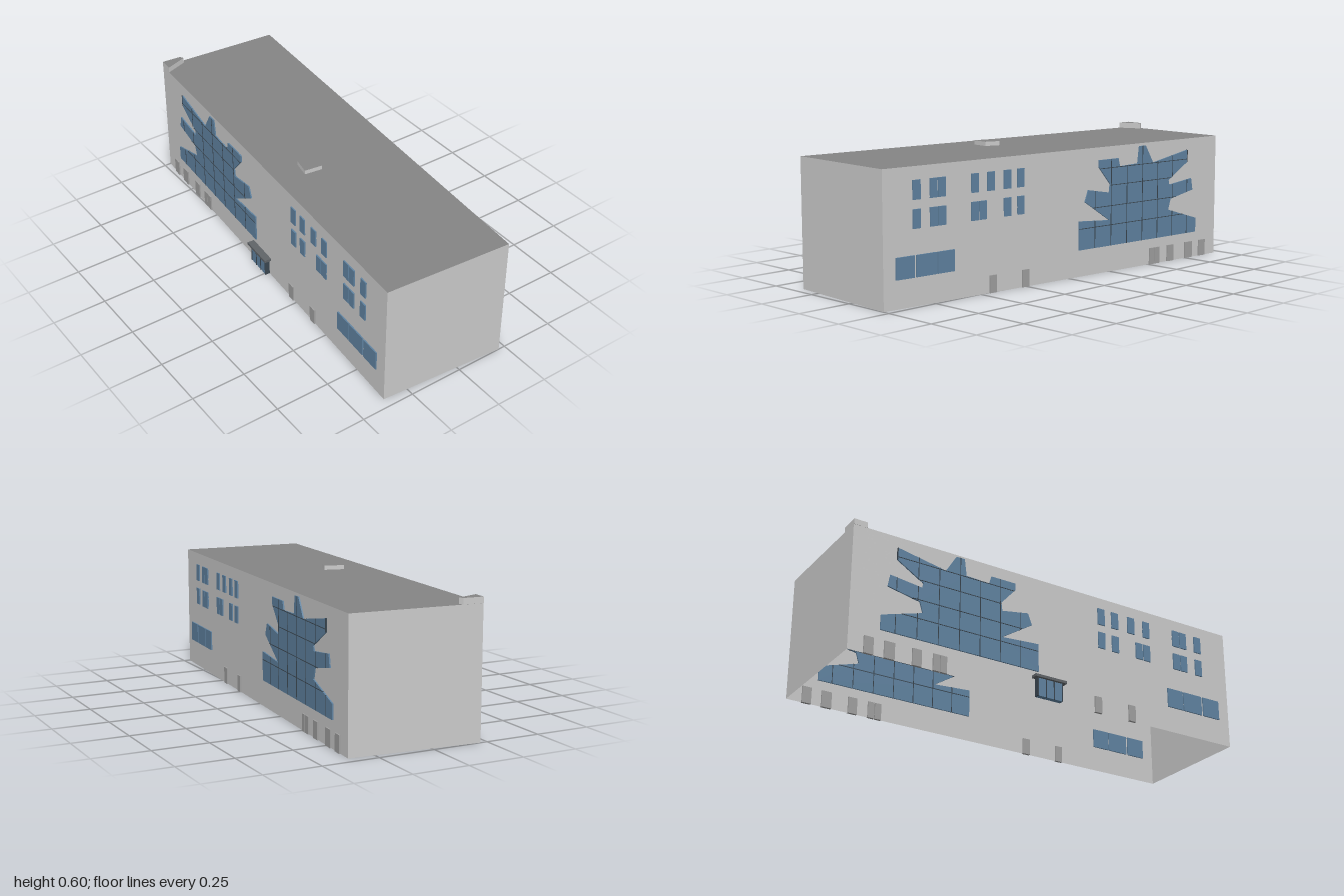
import * as THREE from 'three';
import { mergeGeometries } from 'three/addons/utils/BufferGeometryUtils.js';

const W = 0.585, L = 1.96, H = 0.57, TURN = -0.0745;
const mat = (color, side = THREE.FrontSide) => new THREE.MeshStandardMaterial({ color, side, flatShading: true });
const wallMat = mat(0xcccccc, THREE.DoubleSide);
const roofMat = mat(0x858585, THREE.DoubleSide);
const glassMat = mat(0x6083a1);
const doorMat = mat(0xa0a0a0);
const darkMat = mat(0x3a4650);
const canopyMat = mat(0x606468);
const dotMat = mat(0xeeeeee);

let seed = 7;
const rand = () => (seed = (seed * 16807) % 2147483647) / 2147483647;

function add(parent, name, geometry, material, x = 0, y = 0, z = 0) {
  const mesh = new THREE.Mesh(geometry, material);
  mesh.name = name;
  mesh.position.set(x, y, z);
  parent.add(mesh);
  return mesh;
}

// Openings along a long wall: start and end along z, bottom and top
const UPPER = [[0.815, 0.853], [0.73, 0.767], [0.687, 0.725], [0.516, 0.553], [0.43, 0.468], [0.34, 0.377], [0.265, 0.302]];
const LOWER = [[0.815, 0.853], [0.73, 0.767], [0.687, 0.725], [0.516, 0.553], [0.473, 0.51], [0.34, 0.377], [0.265, 0.302]];
const RIBBON = [[0.848, 0.94], [0.735, 0.839], [0.645, 0.73]];
const DOORS = [[0.42, 0.457], [0.238, 0.275], [-0.536, -0.505], [-0.57, -0.539], [-0.666, -0.623], [-0.794, -0.746], [-0.885, -0.842]];

// Jagged outline of the large window: z, y
const BURST = [
  [-0.056, 0.12], [-0.056, 0.25], [-0.24, 0.237], [-0.09, 0.333], [-0.11, 0.385], [-0.24, 0.362], [-0.245, 0.4],
  [-0.175, 0.48], [-0.175, 0.513], [-0.295, 0.513], [-0.305, 0.475], [-0.42, 0.48], [-0.43, 0.558], [-0.47, 0.558],
  [-0.52, 0.475], [-0.75, 0.517], [-0.75, 0.46], [-0.625, 0.385], [-0.63, 0.362], [-0.78, 0.38], [-0.79, 0.325],
  [-0.64, 0.295], [-0.625, 0.245], [-0.815, 0.187], [-0.815, 0.12],
];

// Where a line at value v on one axis crosses the outline
function crossings(axis, v) {
  const hits = [];
  BURST.forEach((a, i) => {
    const b = BURST[(i + 1) % BURST.length];
    if ((a[axis] > v) === (b[axis] > v)) return;
    const t = (v - a[axis]) / (b[axis] - a[axis]);
    hits.push(a[1 - axis] + t * (b[1 - axis] - a[1 - axis]));
  });
  return hits.sort((p, q) => p - q);
}

// Scattered round flecks, thicker towards the top of a wall
function flecks(width, count) {
  const parts = [];
  for (let i = 0; i < count; i++) {
    const x = (rand() - 0.5) * (width - 0.02);
    const y = 0.56 - 0.46 * Math.pow(rand(), 1.5) * (0.5 + 0.5 * rand());
    parts.push(new THREE.CircleGeometry(0.005, 8).translate(x, y, 0.0015));
  }
  return mergeGeometries(parts);
}

function wall(parent, name, width, dist, angle, count) {
  const group = new THREE.Group();
  group.name = name;
  group.rotation.y = angle;
  group.position.set(Math.sin(angle) * dist, 0, Math.cos(angle) * dist);
  add(group, 'wallPanel', new THREE.PlaneGeometry(width, H), wallMat, 0, H / 2, 0);
  add(group, 'wallFlecks', flecks(width, count), dotMat);
  parent.add(group);
  return group;
}

function longWall(parent, s) {
  const group = wall(parent, s > 0 ? 'leftWall' : 'rightWall', L, W / 2, s * Math.PI / 2, 480);
  const along = z => -s * (z - 0.022) / 0.997;
  const panel = (name, [z0, z1], y0, y1, material, depth = 0.012) =>
    add(group, name, new THREE.BoxGeometry(z1 - z0, y1 - y0, depth), material, along((z0 + z1) / 2), (y0 + y1) / 2, 0);

  UPPER.forEach(r => panel('upperWindow', r, 0.435, 0.515, glassMat));
  LOWER.forEach(r => panel('middleWindow', r, 0.318, 0.397, glassMat));
  RIBBON.forEach(r => panel('ribbonWindow', r, 0.12, 0.211, glassMat));
  DOORS.forEach(r => panel('door', r, 0, 0.076, doorMat));

  // Large jagged window with its grid of glazing bars
  const shape = new THREE.Shape(BURST.map(([z, y]) => new THREE.Vector2(along(z), y)));
  const pane = new THREE.ExtrudeGeometry(shape, { depth: 0.012, bevelEnabled: false });
  add(group, 'jaggedWindow', pane, glassMat, 0, 0, -0.006);
  for (const y of [0.215, 0.302, 0.395, 0.474]) {
    const c = crossings(1, y);
    for (let i = 0; i + 1 < c.length; i += 2) panel('glazingBar', [c[i], c[i + 1]], y - 0.0015, y + 0.0015, darkMat, 0.015);
  }
  for (let z = -0.15; z > -0.8; z -= 0.1) {
    const c = crossings(0, z);
    for (let i = 0; i + 1 < c.length; i += 2) panel('glazingBar', [z - 0.0015, z + 0.0015], c[i], c[i + 1], darkMat, 0.015);
  }
}

// Flat prism on the roof from x, z corners
function roofBlock(parent, name, corners, height) {
  const shape = new THREE.Shape(corners.map(([x, z]) => new THREE.Vector2(x, -z)));
  const geometry = new THREE.ExtrudeGeometry(shape, { depth: height, bevelEnabled: false }).rotateX(-Math.PI / 2);
  add(parent, name, geometry, [roofMat, wallMat], 0, H, 0);
}

export function createModel() {
  const model = new THREE.Group();
  model.name = 'building';
  const body = new THREE.Group();
  body.name = 'body';
  body.rotation.y = TURN;
  model.add(body);

  // Shell, open underneath
  wall(body, 'frontWall', W, L / 2, 0, 110);
  wall(body, 'backWall', W, L / 2, Math.PI, 110);
  longWall(body, 1);
  longWall(body, -1);
  add(body, 'roof', new THREE.PlaneGeometry(W, L).rotateX(-Math.PI / 2), roofMat, 0, H, 0);

  // Glazed porch with a flat canopy
  add(body, 'porchGlass', new THREE.BoxGeometry(0.022, 0.083, 0.125), glassMat, -W / 2 - 0.01, 0.0415, -0.03);
  for (const z of [-0.092, -0.05, -0.01, 0.032])
    add(body, 'porchPost', new THREE.BoxGeometry(0.025, 0.083, 0.004), darkMat, -W / 2 - 0.011, 0.0415, z);
  add(body, 'porchCanopy', new THREE.BoxGeometry(0.034, 0.012, 0.16), canopyMat, -W / 2 - 0.016, 0.089, -0.03);

  // Roof blocks
  roofBlock(model, 'roofHatch', [[-0.16, 0.048], [-0.07, 0.07], [-0.092, 0.138], [-0.175, 0.127]], 0.019);
  roofBlock(model, 'cornerBlock', [[-0.22, -0.998], [-0.13, -0.99], [-0.12, -0.972], [-0.224, -0.935]], 0.026);
  return model;
}
